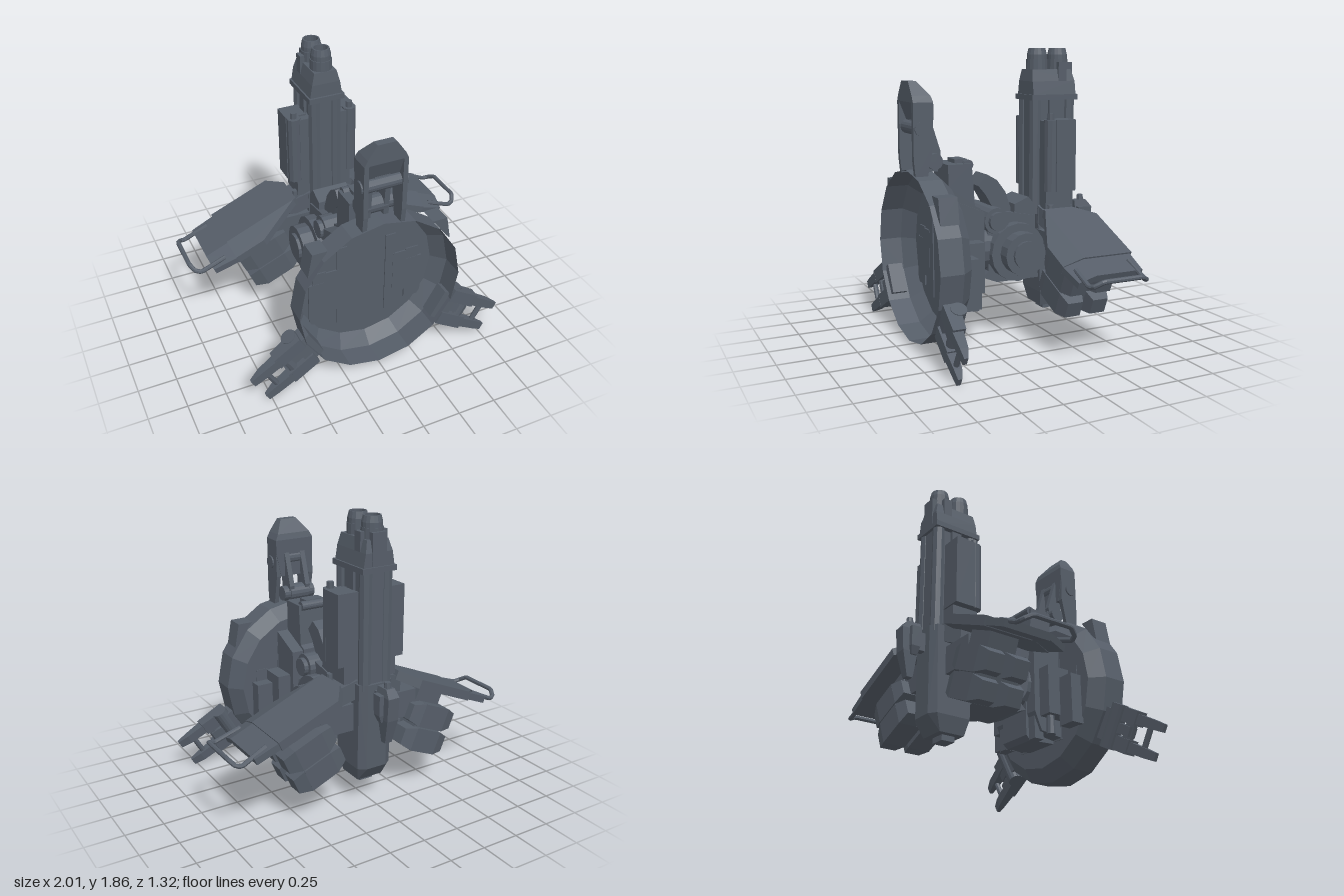
import * as THREE from 'three';
import { ConvexGeometry } from 'three/addons/geometries/ConvexGeometry.js';

const mat = new THREE.MeshStandardMaterial({ color: 0x555d68, flatShading: true, side: THREE.DoubleSide });
const V = (x, y, z) => new THREE.Vector3(x, y, z);
const V2 = p => new THREE.Vector2(...p);

function add(parent, name, geo, x = 0, y = 0, z = 0) {
  const m = new THREE.Mesh(geo, mat);
  m.name = name;
  m.position.set(x, y, z);
  parent.add(m);
  return m;
}
// Box given by its min and max on each axis
function box(parent, name, x0, x1, y0, y1, z0, z1) {
  return add(parent, name, new THREE.BoxGeometry(x1 - x0, y1 - y0, z1 - z0),
    (x0 + x1) / 2, (y0 + y1) / 2, (z0 + z1) / 2);
}
// Cylinder along an axis
function cyl(parent, name, axis, r, len, x, y, z, r2 = r, n = 16) {
  const g = new THREE.CylinderGeometry(r2, r, len, n);
  if (axis === 'x') g.rotateZ(-Math.PI / 2);
  if (axis === 'z') g.rotateX(Math.PI / 2);
  return add(parent, name, g, x, y, z);
}
// Side profile of [z, y] points, extruded along x
function slab(parent, name, pts, w, x = 0) {
  const g = new THREE.ExtrudeGeometry(new THREE.Shape(pts.map(V2)), { depth: w, bevelEnabled: false });
  g.translate(0, 0, -w / 2).rotateY(-Math.PI / 2);
  return add(parent, name, g, x);
}
// Convex solid through horizontal rectangles [y, halfWidth, z0, z1]
function hull(parent, name, rows, x = 0) {
  const pts = rows.flatMap(([y, w, a, b]) => [V(-w, y, a), V(w, y, a), V(-w, y, b), V(w, y, b)]);
  return add(parent, name, new ConvexGeometry(pts), x);
}
// Flat or bent panel: corners [x, y, z] thickened downwards
function panel(parent, name, corners, t) {
  return add(parent, name, new ConvexGeometry(corners.flatMap(([x, y, z]) => [V(x, y, z), V(x, y - t, z)])));
}
function group(parent, name, x = 0, y = 0, z = 0) {
  const g = new THREE.Group();
  g.name = name;
  g.position.set(x, y, z);
  parent.add(g);
  return g;
}

function buildBase(root) {
  const base = group(root, 'base');
  // Open shell with a flat floor
  const profile = [[0, 0.43], [0.47, 0.43], [0.55, 0.51], [0.55, 0.66]];
  add(base, 'dish', new THREE.LatheGeometry(profile.map(V2), 16).rotateX(Math.PI / 2), 0, 0.58);
  for (const s of [-1, 1]) {
    // Corner block just outside the upper rim
    const corner = [[0.35, 1.02], [0.45, 1.02], [0.48, 0.86], [0.45, 0.89], [0.39, 0.97]].map(([x, y]) => V2([s * x, y]));
    add(base, 'rimBlock', new THREE.ExtrudeGeometry(new THREE.Shape(corner), { depth: 0.12, bevelEnabled: false }), 0, 0, 0.51);
    // Stepped boxes behind the dish
    box(base, 'sideBox', s * 0.24 - 0.05, s * 0.24 + 0.05, 0.37, 0.69, 0.26, 0.44);
    box(base, 'lowBox', s * 0.34 - 0.06, s * 0.34 + 0.06, 0.3, 0.62, 0.35, 0.44);
    cyl(base, 'boxPost', 'y', 0.03, 0.2, s * 0.24, 0.35, 0.31, 0.02, 8);
    box(base, 'backRib', s * 0.15 - 0.03, s * 0.15 + 0.03, 0.23, 0.8, 0.23, 0.3);
    // Low strips on the dish floor
    box(base, 'floorStrip', s * 0.325 - 0.045, s * 0.325 + 0.045, 0.42, 0.7, 0.425, 0.438);
    box(base, 'floorStrip', s * 0.17 - 0.035, s * 0.17 + 0.035, 0.25, 0.85, 0.425, 0.438);
  }
  slab(base, 'backHousing', [[0.428, 0.24], [0.428, 1.02], [0.43, 1.16], [0.27, 1.16], [0.25, 0.89], [0.21, 0.87], [0.21, 0.26], [0.24, 0.23]], 0.24);
  slab(base, 'backPlate', [[0.428, 0.26], [0.428, 0.95], [0.29, 0.89], [0.22, 0.86], [0.22, 0.4], [0.27, 0.28]], 0.4);
  box(base, 'housingLid', -0.06, 0.06, 1.14, 1.185, 0.28, 0.36);
  cyl(base, 'housingPin', 'x', 0.032, 0.2, 0, 1.15, 0.282);
}

// Gripping claws
function buildClaws(root) {
  const top = group(root, 'topClaw');
  for (const s of [-1, 1]) {
    slab(top, 'rail', [[0.65, 1.1], [0.66, 1.2], [0.66, 1.55], [0.54, 1.55], [0.53, 1.3], [0.57, 1.1]], 0.03, s * 0.125);
    slab(top, 'innerLink', [[0.48, 1.12], [0.56, 1.12], [0.58, 1.36], [0.53, 1.46], [0.46, 1.24]], 0.035, s * 0.06);
  }
  hull(top, 'hood', [[1.3, 0.105, 0.53, 0.56], [1.46, 0.14, 0.53, 0.6], [1.55, 0.14, 0.53, 0.66], [1.59, 0.12, 0.54, 0.66], [1.675, 0.06, 0.61, 0.66]]);
  cyl(top, 'crossBar', 'x', 0.043, 0.3, 0, 1.39, 0.61);
  cyl(top, 'hinge', 'x', 0.058, 0.14, 0, 1.185, 0.51);
  for (const s of [-1, 1]) cyl(top, 'hingeCap', 'x', 0.05, 0.05, s * 0.09, 1.185, 0.51);
  cyl(top, 'knuckle', 'x', 0.05, 0.1, 0, 1.42, 0.57);

  // Local +y points away from the dish centre
  for (const s of [-1, 1]) {
    const claw = group(root, 'lowerClaw', 0, 0.58, 0);
    claw.rotation.z = -s * Math.PI * 2 / 3;
    hull(claw, 'clawRoot', [[0.5, 0.1, 0.53, 0.63], [0.62, 0.1, 0.53, 0.64]]);
    hull(claw, 'clawLink', [[0.55, 0.035, 0.53, 0.62], [0.74, 0.03, 0.58, 0.64]]);
    cyl(claw, 'hinge', 'x', 0.05, 0.28, 0, 0.61, 0.57);
    cyl(claw, 'crossBar', 'x', 0.035, 0.22, 0, 0.71, 0.615, 0.035, 10);
    cyl(claw, 'crossBar', 'x', 0.018, 0.2, 0, 0.85, 0.635, 0.018, 8);
    for (const t of [-1, 1]) {
      hull(claw, 'prongBase', [[0.56, 0.045, 0.55, 0.65], [0.76, 0.045, 0.58, 0.66]], t * 0.09);
      hull(claw, 'prongTip', [[0.74, 0.032, 0.59, 0.66], [0.88, 0.03, 0.61, 0.66], [0.95, 0.025, 0.635, 0.66]], t * 0.088);
    }
  }
}

function buildYoke(root) {
  const yoke = group(root, 'yoke');
  cyl(yoke, 'neck', 'z', 0.15, 0.2, 0, 0.6, 0.13, 0.17);
  slab(yoke, 'yokeBody', [[0.2, 0.42], [0.16, 0.46], [0.17, 0.78], [0.05, 0.84], [-0.16, 0.8], [-0.2, 0.38], [0.1, 0.38]], 0.26);
  cyl(yoke, 'hub', 'x', 0.19, 0.4, 0, 0.58, -0.02);
  cyl(yoke, 'hubRing', 'x', 0.14, 0.57, 0, 0.58, -0.03);
  cyl(yoke, 'hubCap', 'x', 0.09, 0.61, 0, 0.58, -0.03);
  cyl(yoke, 'upperPivot', 'x', 0.085, 0.34, 0, 0.79, 0.12);
  cyl(yoke, 'upperPivotCap', 'x', 0.06, 0.4, 0, 0.79, 0.12);
  slab(yoke, 'curvedArm', [[0.15, 1.08], [0.08, 1.04], [0.02, 0.96], [-0.02, 0.85], [0, 0.72], [0.1, 0.75], [0.12, 0.88], [0.16, 0.95], [0.21, 1.01]], 0.17);
  slab(yoke, 'gunBracket', [[-0.03, 0.88], [-0.13, 0.92], [-0.18, 0.86], [-0.18, 0.6], [-0.02, 0.7]], 0.24);
}

function buildGun(root) {
  const gun = group(root, 'gun');
  hull(gun, 'receiver', [[0.84, 0.12, -0.46, -0.2], [0.84, 0.07, -0.49, -0.2], [0.27, 0.12, -0.45, -0.22], [0.27, 0.07, -0.485, -0.22], [0.17, 0.09, -0.41, -0.24]]);
  box(gun, 'bottomCatch', -0.05, 0.05, 0.135, 0.2, -0.37, -0.28);
  // Barrel bundle: core, middle rib and rounded corner columns
  box(gun, 'barrelCore', -0.085, 0.085, 0.8, 1.56, -0.47, -0.18);
  box(gun, 'barrelRib', -0.105, 0.105, 0.8, 1.55, -0.36, -0.29);
  for (const s of [-1, 1]) for (const z of [-0.2, -0.445]) cyl(gun, 'barrelColumn', 'y', 0.04, 0.76, s * 0.072, 1.18, z, 0.04, 8);
  box(gun, 'collar', -0.12, 0.12, 1.54, 1.575, -0.49, -0.155);
  hull(gun, 'muzzleBlock', [[1.57, 0.11, -0.48, -0.17], [1.66, 0.095, -0.48, -0.17], [1.735, 0.075, -0.46, -0.18]]);
  box(gun, 'muzzleClip', -0.05, 0.05, 1.58, 1.78, -0.485, -0.42);
  for (const s of [-1, 1]) box(gun, 'muzzleLatch', s * 0.08 - 0.015, s * 0.08 + 0.015, 1.6, 1.78, -0.42, -0.36);
  for (const z of [-0.25, -0.4]) {
    const rings = [[0, 0], [0.07, 0], [0.07, 0.1], [0.065, 0.1], [0.065, 0.13], [0.055, 0.17], [0.045, 0.17], [0.045, 0.08], [0, 0.08]];
    add(gun, 'muzzle', new THREE.LatheGeometry(rings.map(V2), 16), 0, 1.7, z);
  }
  // Magazine and gas tube on each flank
  for (const s of [-1, 1]) {
    const span = (n, a, b, ...r) => box(gun, n, Math.min(s * a, s * b), Math.max(s * a, s * b), ...r);
    span('magazine', 0.1, 0.24, 0.96, 1.42, -0.41, -0.27);
    span('magazineMount', 0.06, 0.19, 0.84, 1.41, -0.4, -0.22);
    cyl(gun, 'gasTube', 'y', 0.045, 0.46, s * 0.195, 1.19, -0.25, 0.045, 10);
    cyl(gun, 'gasTubeCap', 'y', 0.022, 0.05, s * 0.195, 1.435, -0.25, 0.022, 8);
  }
  // Sight hanging on the back
  const sight = group(gun, 'sight');
  box(sight, 'sightMount', -0.025, 0.025, 0.68, 0.8, -0.56, -0.47);
  hull(sight, 'sightBody', [[0.85, 0.03, -0.62, -0.53], [0.8, 0.04, -0.66, -0.53], [0.65, 0.04, -0.65, -0.55], [0.49, 0.025, -0.61, -0.57]]);
  hull(sight, 'sightEars', [[0.81, 0.07, -0.61, -0.54], [0.68, 0.07, -0.61, -0.55], [0.63, 0.05, -0.6, -0.56]]);
  cyl(sight, 'sightKnob', 'y', 0.025, 0.05, 0, 0.86, -0.59, 0.02, 8);
}

// Sloping shield with handle and launcher pod, built for the left side
function buildWing(root, s) {
  const wing = group(root, s > 0 ? 'leftWing' : 'rightWing');
  wing.scale.x = s;
  box(wing, 'wingArm', 0.08, 0.36, 0.52, 0.7, -0.4, -0.2);
  panel(wing, 'wingGusset', [[0.1, 0.86, -0.42], [0.1, 0.86, -0.2], [0.25, 0.8, -0.38], [0.25, 0.8, -0.23]], 0.12);
  cyl(wing, 'wingBolt', 'y', 0.025, 0.06, 0.2, 0.84, -0.25, 0.02, 8);

  const tilt = group(wing, 'shield', 0.22, 0.85, 0);
  tilt.rotation.z = -0.4;
  panel(tilt, 'shieldPlate', [[0, 0, -0.4], [0.1, 0, -0.53], [0.54, 0, -0.53], [0.54, 0, -0.19], [0, 0, -0.19]], 0.06);
  panel(tilt, 'shieldFront', [[0.02, 0, -0.19], [0.54, 0, -0.19], [0.54, -0.05, -0.06], [0.33, -0.05, -0.06], [0.2, -0.02, -0.14]], 0.05);
  panel(tilt, 'shieldEnd', [[0.53, -0.01, -0.52], [0.705, -0.01, -0.51], [0.705, -0.01, -0.19], [0.53, -0.01, -0.19]], 0.045);
  panel(tilt, 'shieldEndFront', [[0.53, -0.01, -0.19], [0.705, -0.01, -0.19], [0.705, -0.05, -0.08], [0.53, -0.055, -0.06]], 0.04);
  // Handle hooks upward at its outer bar
  const path = new THREE.CurvePath();
  const pts = [[0.6, -0.01, -0.47], [0.78, -0.02, -0.48], [0.81, 0, -0.47], [0.822, 0.035, -0.42],
    [0.822, 0.035, -0.16], [0.81, 0, -0.115], [0.78, -0.025, -0.1], [0.6, -0.035, -0.11]].map(p => V(...p));
  for (let i = 1; i < pts.length; i++) path.add(new THREE.LineCurve3(pts[i - 1], pts[i]));
  add(tilt, 'handle', new THREE.TubeGeometry(path, 48, 0.015, 8));

  // Launcher pod with four capped cells at each end
  box(tilt, 'podHanger', 0.22, 0.42, -0.2, -0.04, -0.4, -0.2);
  box(tilt, 'podBody', 0.25, 0.47, -0.43, -0.19, -0.44, -0.17);
  for (const v of [-0.235, -0.4]) for (const z of [-0.22, -0.4]) {
    for (const [u, r0, r1] of [[0.5, 0.11, 0.075], [0.22, 0.075, 0.11]]) {
      const g = new THREE.CylinderGeometry(r1, r0, 0.08, 4).rotateY(Math.PI / 4).rotateZ(-Math.PI / 2);
      add(tilt, 'podCap', g, u, v, z);
    }
    box(tilt, 'podCell', 0.26, 0.46, v - 0.078, v + 0.078, z - 0.078, z + 0.078);
  }
}

export function createModel() {
  const root = new THREE.Group();
  root.name = 'mountedTurret';
  buildBase(root);
  buildClaws(root);
  buildYoke(root);
  buildGun(root);
  for (const s of [-1, 1]) buildWing(root, s);
  return root;
}
